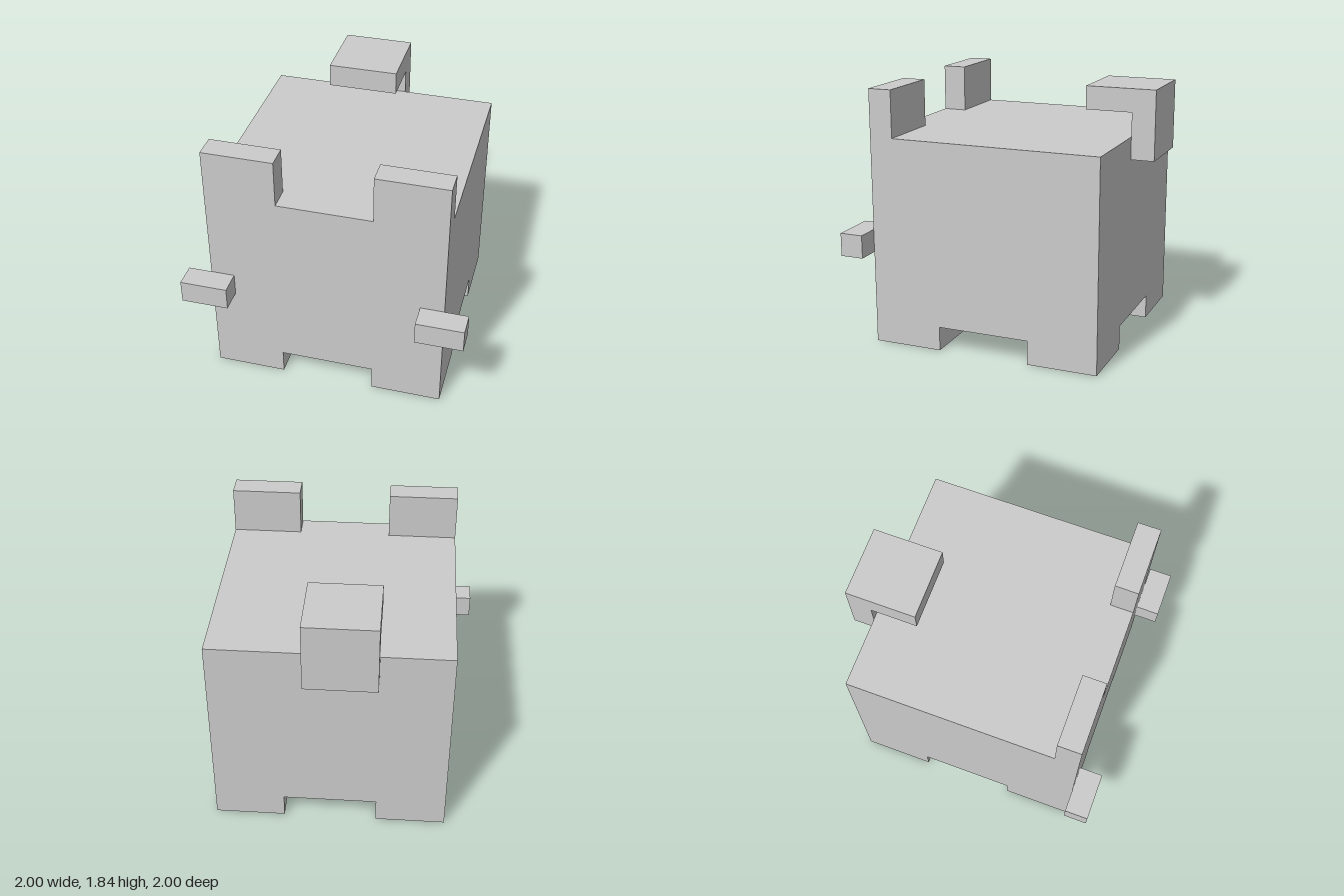
import * as THREE from 'three';

const material = new THREE.MeshStandardMaterial({ color: 0xcccccc, flatShading: true });

// Box given by its min and max corners
function addBox(parent, name, [x0, y0, z0], [x1, y1, z1]) {
  const geometry = new THREE.BoxGeometry(x1 - x0, y1 - y0, z1 - z0);
  const mesh = new THREE.Mesh(geometry, material);
  mesh.position.set((x0 + x1) / 2, (y0 + y1) / 2, (z0 + z1) / 2);
  mesh.name = name;
  parent.add(mesh);
}

export function createModel() {
  const model = new THREE.Group();
  model.name = 'blockAnimal';

  // Cube body
  addBox(model, 'body', [-0.833, 0.173, -0.833], [0.833, 1.5, 0.833]);

  for (const [side, s] of [['left', 1], ['right', -1]]) {
    const span = (a, b) => (s > 0 ? [a, b] : [-b, -a]);
    const [in0, in1] = span(0.333, 0.833);
    const [w0, w1] = span(0.665, 1);

    // Short feet at the corners
    addBox(model, side + 'FrontFoot', [in0, 0, 0.333], [in1, 0.173, 0.833]);
    addBox(model, side + 'BackFoot', [in0, 0, -0.833], [in1, 0.173, -0.333]);

    // Ear flush with the face
    addBox(model, side + 'Ear', [in0, 1.5, 0.665], [in1, 1.835, 0.833]);

    // Whisker bar sticking out past the cheek
    addBox(model, side + 'Whisker', [w0, 0.67, 0.833], [w1, 0.835, 1]);
  }

  // Hooked tail: side profile in (-z, y), extruded across x
  const profile = [
    [0.833, 1.34], [1, 1.34], [1, 1.835], [0.5, 1.835], [0.5, 1.67], [0.833, 1.67],
  ].map(([x, y]) => new THREE.Vector2(x, y));
  const tailGeometry = new THREE.ExtrudeGeometry(new THREE.Shape(profile), {
    depth: 0.5, bevelEnabled: false,
  });
  tailGeometry.rotateY(Math.PI / 2);
  const tail = new THREE.Mesh(tailGeometry, material);
  tail.position.x = -0.335;
  tail.name = 'tail';
  model.add(tail);

  return model;
}
